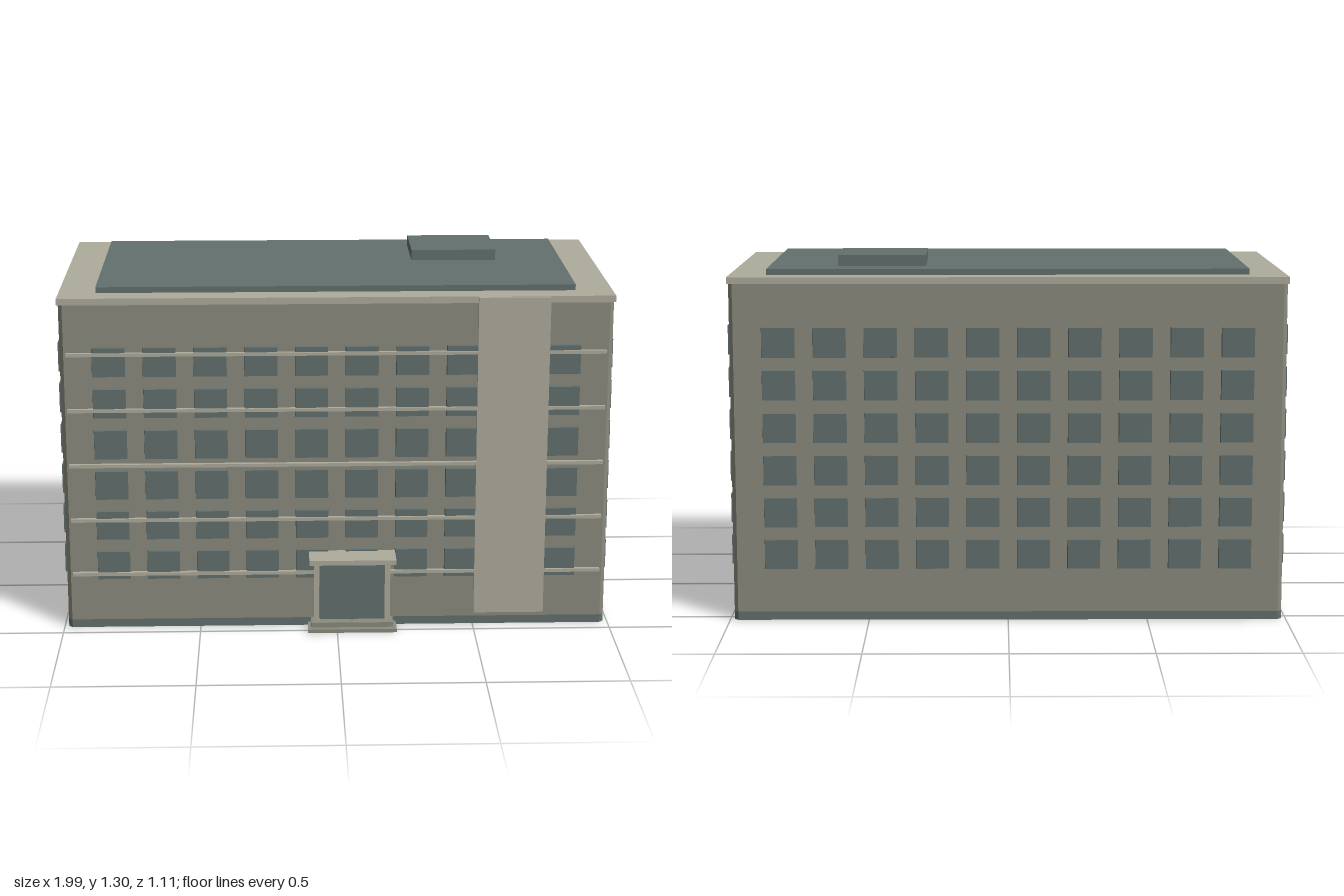
import * as THREE from 'three';

const wall = new THREE.MeshStandardMaterial({ name: 'concrete', color: 0x8a8a7e });
const trim = new THREE.MeshStandardMaterial({ name: 'pale stone', color: 0xaeac9c });
const slate = new THREE.MeshStandardMaterial({ name: 'slate glass', color: 0x62706e });

// Box given by its two extreme corners
function box(name, mat, [x0, y0, z0], [x1, y1, z1]) {
  const mesh = new THREE.Mesh(new THREE.BoxGeometry(x1 - x0, y1 - y0, z1 - z0), mat);
  mesh.position.set((x0 + x1) / 2, (y0 + y1) / 2, (z0 + z1) / 2);
  mesh.name = name;
  return mesh;
}

// Upright block with chamfered vertical corners
function chamferedBlock(name, mat, hx, hz, c, y0, y1, zc) {
  const s = new THREE.Shape([
    [hx - c, -hz], [hx, -hz + c], [hx, hz - c], [hx - c, hz],
    [-hx + c, hz], [-hx, hz - c], [-hx, -hz + c], [-hx + c, -hz],
  ].map(([x, y]) => new THREE.Vector2(x, y)));
  const geo = new THREE.ExtrudeGeometry(s, { depth: y1 - y0, bevelEnabled: false });
  geo.rotateX(-Math.PI / 2);
  const mesh = new THREE.Mesh(geo, mat);
  mesh.position.set(0, y0, zc);
  mesh.name = name;
  return mesh;
}

// Window block whose outer face is slightly smaller than its base
function windowGeometry() {
  const geo = new THREE.BoxGeometry(0.122, 0.112, 0.024);
  const p = geo.attributes.position;
  for (let i = 0; i < p.count; i++) {
    if (p.getZ(i) > 0) p.setXY(i, p.getX(i) * 0.94, p.getY(i) * 0.94);
  }
  geo.computeVertexNormals();
  return geo;
}

export function createModel() {
  const model = new THREE.Group();
  model.name = 'officeBuilding';
  const zc = -0.05; // centre of the main block

  // Main block, plinth and roof
  model.add(
    chamferedBlock('plinth', slate, 0.985, 0.494, 0.014, 0, 0.03, zc),
    chamferedBlock('walls', wall, 0.985, 0.494, 0.014, 0.03, 1.215, zc),
    box('cornice', trim, [-0.99, 1.213, -0.548], [0.99, 1.237, 0.447]),
    box('roofSlab', slate, [-0.857, 1.237, -0.463], [0.857, 1.258, 0.357]),
    box('roofHatch', slate, [0.295, 1.258, -0.352], [0.61, 1.297, -0.073]),
  );

  // Window grids on all four sides
  const geo = windowGeometry();
  const sides = [
    { name: 'front', count: 10, angle: 0, dist: 0.494 },
    { name: 'back', count: 10, angle: Math.PI, dist: 0.494 },
    { name: 'left', count: 5, angle: Math.PI / 2, dist: 0.985 },
    { name: 'right', count: 5, angle: -Math.PI / 2, dist: 0.985 },
  ];
  for (const { name, count, angle, dist } of sides) {
    const grid = new THREE.Group();
    grid.name = name + 'Windows';
    grid.position.z = zc;
    grid.rotation.y = angle;
    for (let row = 0; row < 6; row++) {
      for (let col = 0; col < count; col++) {
        const pane = new THREE.Mesh(geo, slate);
        pane.name = 'window';
        pane.position.set((col - (count - 1) / 2) * 0.1805, 0.243 + row * 0.1526, dist);
        grid.add(pane);
      }
    }
    model.add(grid);
  }

  // Stair tower panel and horizontal rails
  model.add(box('towerPanel', trim, [0.502, 0.05, 0.43], [0.758, 1.236, 0.464]));
  for (let i = 0; i < 5; i++) {
    const y = 0.211 + i * 0.206;
    model.add(box('facadeRail', trim, [-0.962, y - 0.006, 0.447], [0.962, y + 0.006, 0.463]));
  }

  // Entrance: steps, doors, posts and canopy
  const entrance = new THREE.Group();
  entrance.name = 'entrance';
  entrance.position.x = 0.055;
  entrance.add(
    box('lowerStep', wall, [-0.162, 0, 0.43], [0.162, 0.013, 0.527]),
    box('upperStep', wall, [-0.15, 0.013, 0.43], [0.15, 0.031, 0.505]),
    box('canopy', trim, [-0.157, 0.272, 0.43], [0.157, 0.29, 0.558]),
    box('doorHeader', trim, [-0.137, 0.262, 0.43], [0.137, 0.274, 0.475]),
  );
  for (const s of [-1, 1]) {
    const post = box('doorPost', trim, [-0.01, 0.03, 0.43], [0.01, 0.274, 0.485]);
    post.position.x = s * 0.129;
    const door = box('doorLeaf', slate, [-0.057, 0.031, 0.44], [0.057, 0.264, 0.468]);
    door.position.x = s * 0.061;
    entrance.add(post, door);
  }
  entrance.add(box('doorMullion', slate, [-0.004, 0.031, 0.44], [0.004, 0.264, 0.473]));
  model.add(entrance);
  return model;
}
